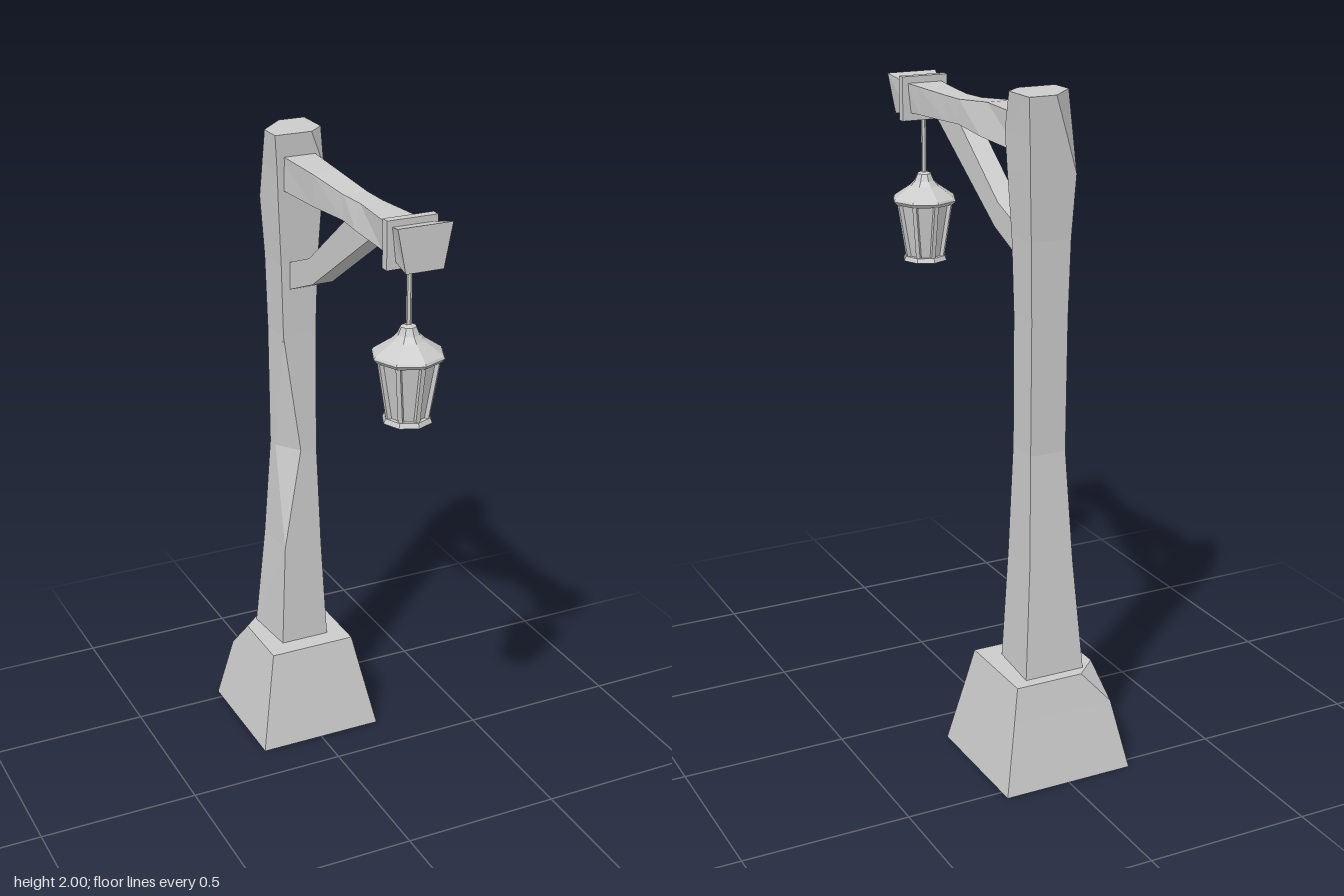
import * as THREE from 'three';

const mat = new THREE.MeshStandardMaterial({ color: 0xcccccc, flatShading: true });

// Skin a list of equal-length rings, close both ends, skip collapsed triangles
function loft(rings) {
  const pos = [];
  const tri = (a, b, c) => {
    const [A, B, C] = [a, b, c].map((p) => new THREE.Vector3(...p));
    if (B.clone().sub(A).cross(C.clone().sub(A)).length() > 1e-7) pos.push(...a, ...b, ...c);
  };
  const n = rings[0].length;
  for (let i = 0; i < rings.length - 1; i++) {
    const lo = rings[i], hi = rings[i + 1];
    for (let j = 0; j < n; j++) {
      const k = (j + 1) % n;
      tri(lo[j], lo[k], hi[k]);
      tri(lo[j], hi[k], hi[j]);
    }
  }
  const first = rings[0], last = rings[rings.length - 1];
  for (let j = 1; j < n - 1; j++) {
    tri(first[0], first[j + 1], first[j]);
    tri(last[0], last[j], last[j + 1]);
  }
  const g = new THREE.BufferGeometry();
  g.setAttribute('position', new THREE.Float32BufferAttribute(pos, 3));
  g.computeVertexNormals();
  return g;
}

// Horizontal section: front/back half widths, front/back z, and three corner chips [dx, dz]
function section(y, wf, wb, zf, zb, { fl = [0, 0], fr = [0, 0], bl = [0, 0] } = {}) {
  return [
    [-wf, y, zf - fl[1]], [-wf + fl[0], y, zf],
    [wf - fr[0], y, zf], [wf, y, zf - fr[1]],
    [wb, y, zb],
    [-wb + bl[0], y, zb], [-wb, y, zb + bl[1]],
  ];
}

// Upright section of the arm: right/left x on top and bottom, then heights
function armSection(z, tr, tl, bl, br, yb, yt) {
  return [[tr, yt, z], [tl, yt, z], [bl, yb, z], [br, yb, z]];
}

function add(parent, name, geometry, x = 0, y = 0, z = 0) {
  const m = new THREE.Mesh(geometry, mat);
  m.name = name;
  m.position.set(x, y, z);
  parent.add(m);
  return m;
}

function createLantern() {
  const lantern = new THREE.Group();
  lantern.name = 'lantern';
  const sides = 8;

  // Roof with a small flared neck and a thin rim
  const roof = [[0, 1.545], [0.095, 1.545], [0.104, 1.556], [0.1, 1.563], [0.046, 1.6], [0.032, 1.615], [0.022, 1.637], [0.012, 1.643], [0, 1.643]];
  add(lantern, 'lanternRoof', new THREE.LatheGeometry(roof.map((p) => new THREE.Vector2(...p)), sides));

  // Glass, bottom plate and hanging rod
  add(lantern, 'lanternGlass', new THREE.CylinderGeometry(0.081, 0.053, 0.17, sides), 0, 1.461, 0);
  add(lantern, 'lanternBottom', new THREE.CylinderGeometry(0.066, 0.072, 0.014, sides), 0, 1.372, 0);
  add(lantern, 'hangingRod', new THREE.CylinderGeometry(0.008, 0.008, 0.2, 6), 0, 1.73, 0);

  // Slanted frame bars on the corners
  const low = new THREE.Vector3(0, 1.374, 0.056), high = new THREE.Vector3(0, 1.55, 0.085);
  const tilt = Math.atan2(high.z - low.z, high.y - low.y);
  for (let i = 0; i < sides; i++) {
    const bar = new THREE.BoxGeometry(0.013, low.distanceTo(high), 0.012);
    bar.rotateX(tilt);
    bar.translate(0, (low.y + high.y) / 2, (low.z + high.z) / 2);
    bar.rotateY((i / sides) * Math.PI * 2);
    add(lantern, 'lanternBar', bar);
  }
  lantern.position.z = 0.435;
  return lantern;
}

export function createModel() {
  const model = new THREE.Group();
  model.name = 'lampPost';

  // Tapered stone foot with one chipped back corner
  add(model, 'base', loft([
    section(0, 0.203, 0.203, -0.131, -0.538),
    section(0.21, 0.16, 0.16, -0.175, -0.495),
    section(0.31, 0.14, 0.14, -0.195, -0.475, { bl: [0.07, 0.065] }),
  ]));

  // Rough wooden post, waisted, with chipped corners
  add(model, 'post', loft([
    section(0.3, 0.08, 0.095, -0.256, -0.442),
    section(0.65, 0.063, 0.07, -0.264, -0.413),
    section(0.98, 0.054, 0.056, -0.275, -0.386, { fl: [0.054, 0.075] }),
    section(1.37, 0.054, 0.057, -0.275, -0.388),
    section(1.6, 0.06, 0.062, -0.271, -0.391),
    section(1.78, 0.07, 0.071, -0.262, -0.4),
    section(1.89, 0.075, 0.076, -0.257, -0.406, { bl: [0.04, 0.04] }),
    section(2, 0.083, 0.083, -0.25, -0.412, { fr: [0.05, 0.045], bl: [0.083, 0.085] }),
  ]));

  // Hewn arm, flaring at its free end
  add(model, 'arm', loft([
    armSection(-0.3, 0.05, -0.053, -0.053, 0.05, 1.828, 1.932),
    armSection(-0.06, 0.03, -0.053, -0.05, 0.051, 1.836, 1.932),
    armSection(0.11, 0.036, -0.038, -0.04, 0.038, 1.843, 1.916),
    armSection(0.2, 0.038, -0.031, -0.043, 0.038, 1.838, 1.915),
    armSection(0.36, 0.05, -0.048, -0.044, 0.045, 1.832, 1.918),
    armSection(0.44, 0.058, -0.058, -0.048, 0.048, 1.828, 1.92),
    armSection(0.52, 0.081, -0.081, -0.056, 0.056, 1.815, 1.94),
  ]));

  // Diagonal brace under the arm
  const side = [[0.29, 1.85], [0.12, 1.85], [-0.13, 1.66], [-0.29, 1.598], [-0.29, 1.512], [-0.11, 1.585]];
  const shape = new THREE.Shape(side.map(([z, y]) => new THREE.Vector2(-z, y)));
  const brace = new THREE.ExtrudeGeometry(shape, { depth: 0.064, bevelEnabled: false });
  brace.translate(0, 0, -0.032);
  brace.rotateY(Math.PI / 2);
  add(model, 'brace', brace);

  // Band around the arm that carries the lantern
  add(model, 'band', new THREE.BoxGeometry(0.15, 0.135, 0.026), 0, 1.873, 0.435);
  model.add(createLantern());

  return model;
}
